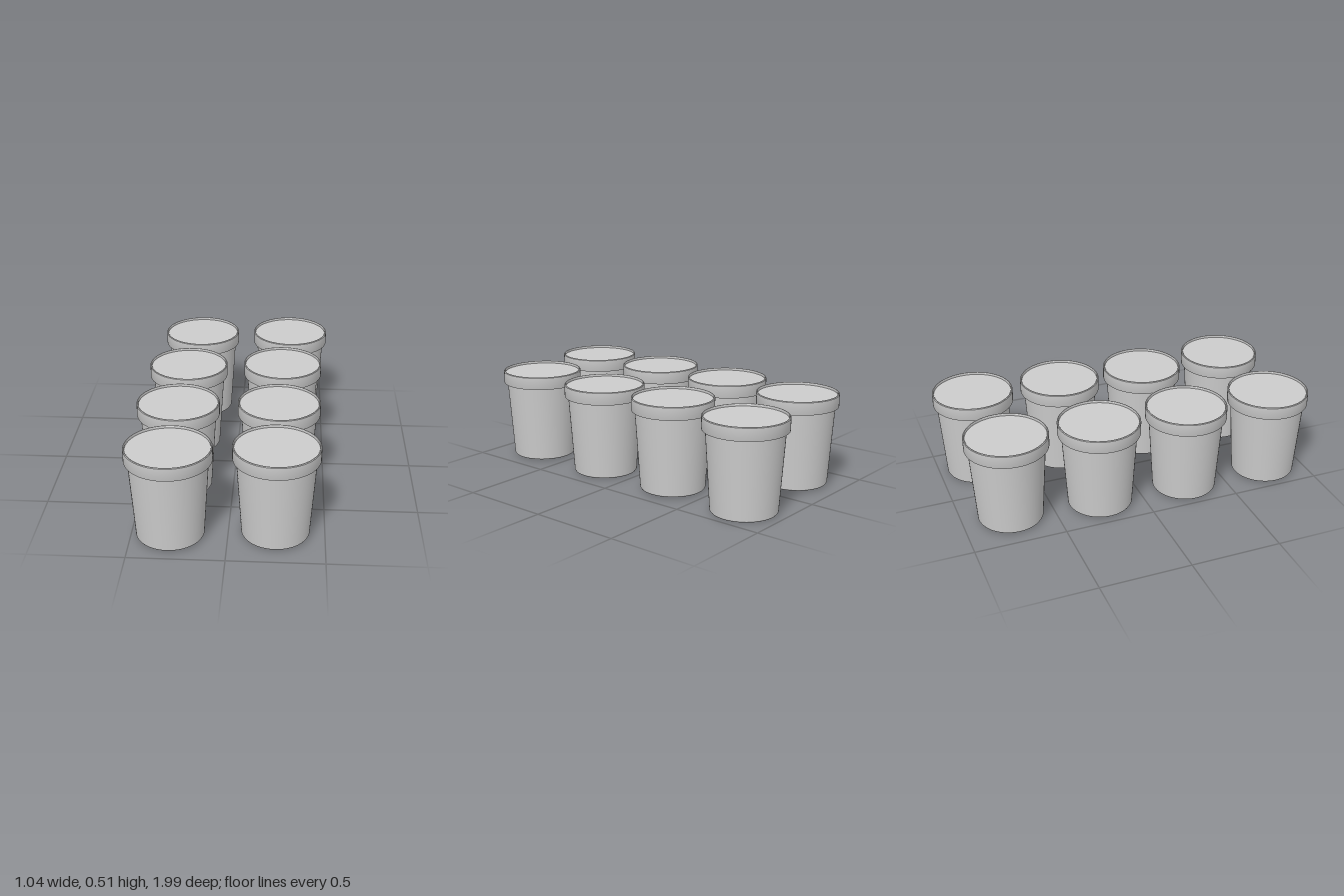
import * as THREE from 'three';
import { toCreasedNormals } from 'three/addons/utils/BufferGeometryUtils.js';

const SEGMENTS = 64;

// Revolve a [radius, height] profile, listed from the bottom up the outside
function revolve(profile) {
  const points = profile.map(([r, y]) => new THREE.Vector2(r, y));
  return toCreasedNormals(new THREE.LatheGeometry(points, SEGMENTS), 0.5);
}

export function createModel() {
  const group = new THREE.Group();
  group.name = 'tubs';
  const material = new THREE.MeshStandardMaterial({ color: 0xcccccc });

  // Tapered tub with a small bevel at the foot
  const tubGeometry = revolve([
    [0, 0], [0.173, 0], [0.177, 0.006], [0.206, 0.45], [0, 0.45],
  ]);
  // Lid with an overhanging band and a recessed top panel
  const lidGeometry = revolve([
    [0.2, 0.433], [0.223, 0.433], [0.224, 0.436], [0.224, 0.501],
    [0.221, 0.505], [0.217, 0.505], [0.215, 0.502], [0.215, 0.492], [0, 0.492],
  ]);

  // Two loose rows of tubs: x, resting height, z
  const placements = [
    [-0.298, 0.008, 0.767], [-0.298, 0.008, 0.267],
    [-0.288, 0.008, -0.235], [-0.248, 0.008, -0.735],
    [0.244, 0.006, 0.725], [0.246, 0, 0.225],
    [0.256, 0.008, -0.277], [0.295, 0.003, -0.776],
  ];
  placements.forEach(([x, y, z], i) => {
    const container = new THREE.Group();
    container.name = `container${i + 1}`;
    const tub = new THREE.Mesh(tubGeometry, material);
    tub.name = 'tub';
    const lid = new THREE.Mesh(lidGeometry, material);
    lid.name = 'lid';
    container.add(tub, lid);
    container.position.set(x, y, z);
    group.add(container);
  });
  return group;
}
